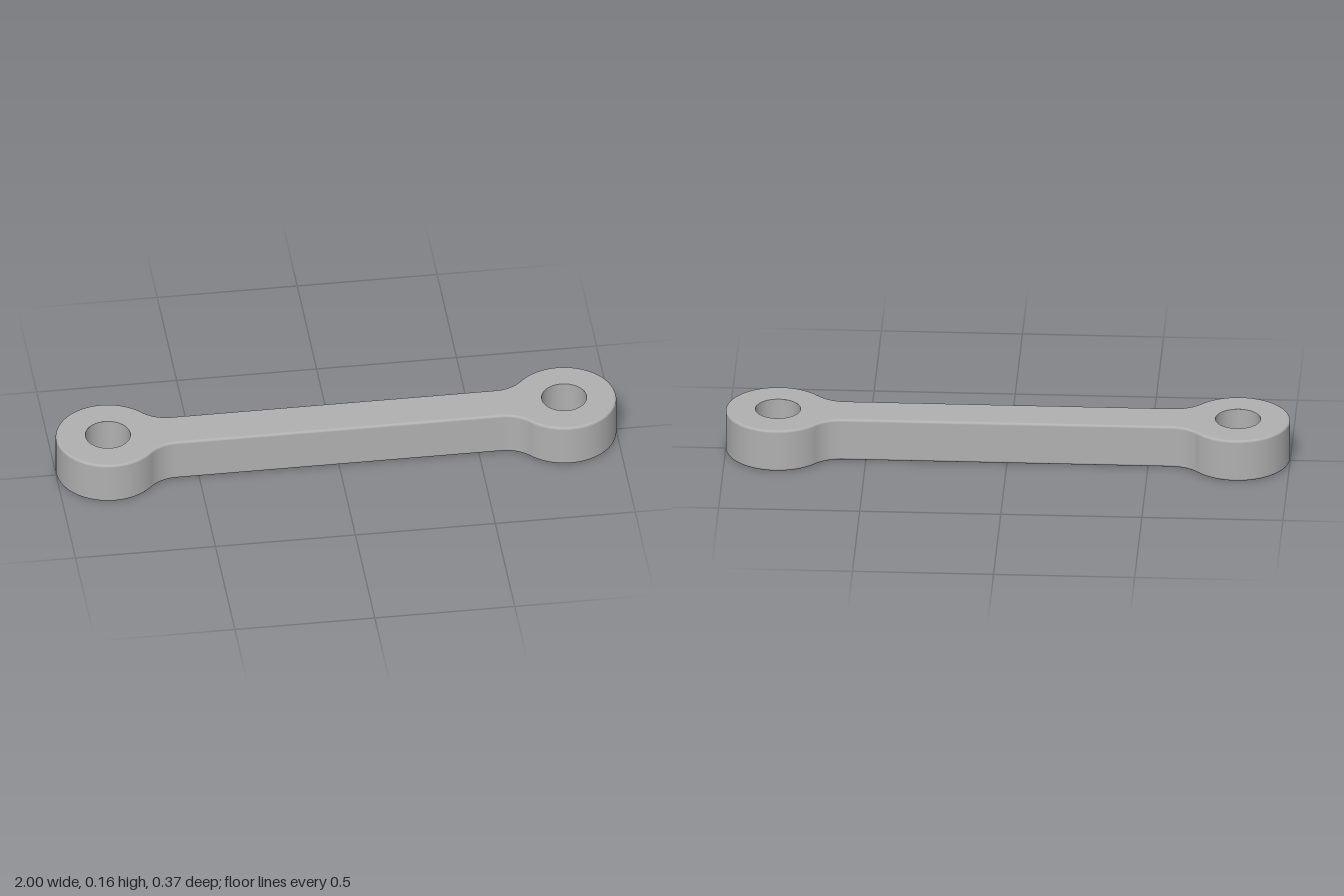
import * as THREE from 'three';

const HEIGHT = 0.158, BEVEL = 0.009;
const EYE_X = 0.815, EYE_R = 0.185, HOLE_R = 0.08;
const BAR_HALF = 0.079, FILLET_X = 0.58, FILLET_R = 0.128;

// Outline of the link in plan, counterclockwise, with outward normals
function makeOutline() {
  const half = [];
  const arc = (cx, cy, r, from, to, steps, sign) => {
    for (let i = 0; i <= steps; i++) {
      const a = from + (to - from) * i / steps;
      const c = Math.cos(a), s = Math.sin(a);
      half.push({ x: cx + r * c, y: cy + r * s, nx: sign * c, ny: sign * s });
    }
  };
  const fy = BAR_HALF + FILLET_R;
  const turn = Math.atan2(fy, EYE_X - FILLET_X);
  arc(FILLET_X, -fy, FILLET_R, Math.PI / 2, turn, 12, -1);
  arc(EYE_X, 0, EYE_R, turn - Math.PI, Math.PI - turn, 64, 1);
  arc(FILLET_X, fy, FILLET_R, -turn, -Math.PI / 2, 12, -1);
  // The other end is the same half turned by 180 degrees
  return [...half, ...half.map(p => ({ x: -p.x, y: -p.y, nx: -p.nx, ny: -p.ny }))];
}

// Side wall with rounded top and bottom edges, built as stacked loops
function makeWall(outline) {
  const rows = [], steps = 4;
  for (const [base, start] of [[BEVEL, -Math.PI / 2], [HEIGHT - BEVEL, 0]]) {
    for (let k = 0; k <= steps; k++) {
      const t = start + (Math.PI / 2) * k / steps;
      rows.push({ y: base + BEVEL * Math.sin(t), inset: BEVEL * (1 - Math.cos(t)), t });
    }
  }
  const pos = [], nor = [], idx = [], n = outline.length;
  rows.forEach((row, j) => outline.forEach((p, i) => {
    pos.push(p.x - p.nx * row.inset, row.y, -(p.y - p.ny * row.inset));
    nor.push(p.nx * Math.cos(row.t), Math.sin(row.t), -p.ny * Math.cos(row.t));
    if (j + 1 < rows.length) {
      const a = j * n + i, b = j * n + (i + 1) % n;
      idx.push(a, b, b + n, a, b + n, a + n);
    }
  }));
  const geo = new THREE.BufferGeometry();
  geo.setAttribute('position', new THREE.Float32BufferAttribute(pos, 3));
  geo.setAttribute('normal', new THREE.Float32BufferAttribute(nor, 3));
  geo.setIndex(idx);
  return geo;
}

export function createModel() {
  const group = new THREE.Group();
  group.name = 'connectingLink';
  const grey = new THREE.MeshStandardMaterial({ color: 0xb0b0b0 });
  grey.name = 'grey metal';
  const add = (geo, name) => {
    const mesh = new THREE.Mesh(geo, grey);
    mesh.name = name;
    group.add(mesh);
    return mesh;
  };

  const outline = makeOutline();
  add(makeWall(outline), 'sideWall');

  // Flat faces with the two pin holes
  const face = new THREE.Shape(outline.map(p =>
    new THREE.Vector2(p.x - p.nx * BEVEL, p.y - p.ny * BEVEL)));
  for (const side of [-1, 1]) {
    face.holes.push(new THREE.Path().absarc(side * EYE_X, 0, HOLE_R, 0, Math.PI * 2, true));
  }
  const faceGeo = () => new THREE.ShapeGeometry(face, 48);
  add(faceGeo().rotateX(-Math.PI / 2), 'topFace').position.y = HEIGHT;
  add(faceGeo().rotateX(Math.PI / 2), 'bottomFace');

  // Bores: profile runs downwards so the walls face the hole's axis
  const bore = new THREE.LatheGeometry(
    [new THREE.Vector2(HOLE_R, HEIGHT), new THREE.Vector2(HOLE_R, 0)], 48);
  add(bore, 'leftBore').position.x = EYE_X;
  add(bore, 'rightBore').position.x = -EYE_X;

  return group;
}
